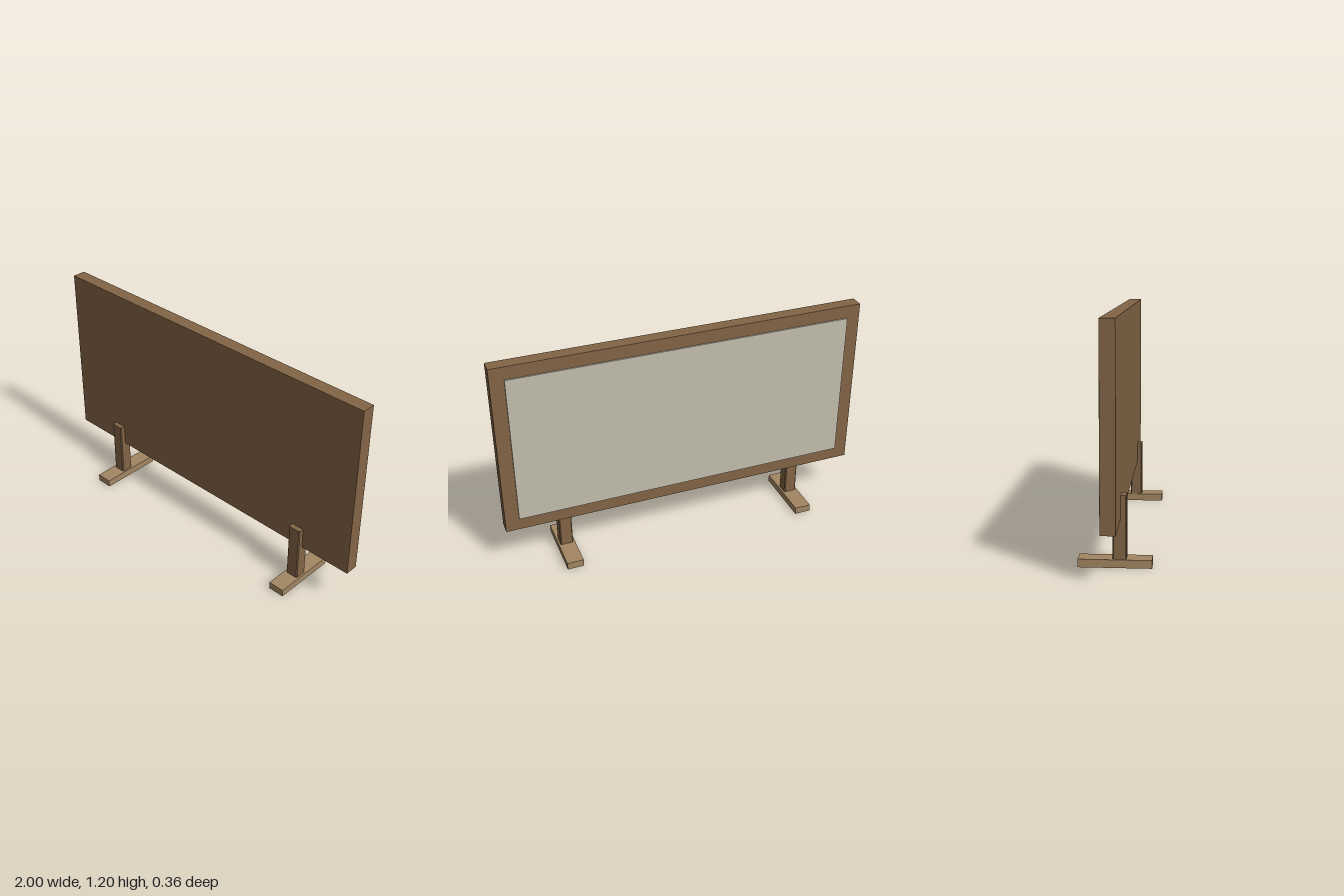
import * as THREE from 'three';

const material = (name, color) => {
  const m = new THREE.MeshStandardMaterial({ color });
  m.name = name;
  return m;
};

// Box given by its x centre, width and its y and z ranges
function block(name, mat, x, w, y0, y1, z0, z1) {
  const mesh = new THREE.Mesh(new THREE.BoxGeometry(w, y1 - y0, z1 - z0), mat);
  mesh.position.set(x, (y0 + y1) / 2, (z0 + z1) / 2);
  mesh.name = name;
  return mesh;
}

// Upright with a rectangular footprint and chamfered vertical edges
function chamferedPost(name, mat, x, w, y0, y1, z0, z1, c) {
  const h = w / 2;
  const shape = new THREE.Shape([
    [-h + c, -z1], [h - c, -z1], [h, -z1 + c], [h, -z0 - c],
    [h - c, -z0], [-h + c, -z0], [-h, -z0 - c], [-h, -z1 + c],
  ].map(([px, py]) => new THREE.Vector2(px, py)));
  const geo = new THREE.ExtrudeGeometry(shape, { depth: y1 - y0, bevelEnabled: false });
  geo.rotateX(-Math.PI / 2);
  const mesh = new THREE.Mesh(geo, mat);
  mesh.position.set(x, y0, 0);
  mesh.name = name;
  return mesh;
}

export function createModel() {
  const wood = material('brown wood', 0x836546);
  const paleWood = material('pale wood', 0xa38763);
  const board = material('pale grey board', 0xc4c0b0);
  const dark = material('dark hole', 0x3a2c1e);

  const model = new THREE.Group();
  model.name = 'standingPanel';

  // Thick panel
  model.add(block('panel', wood, 0, 2, 0.235, 1.2, -0.045, 0.027));

  // Board on the back, with slightly rounded corners
  const [w, h, r] = [0.926, 0.413, 0.006];
  const outline = new THREE.Shape();
  outline.moveTo(-w + r, -h);
  outline.lineTo(w - r, -h).quadraticCurveTo(w, -h, w, -h + r);
  outline.lineTo(w, h - r).quadraticCurveTo(w, h, w - r, h);
  outline.lineTo(-w + r, h).quadraticCurveTo(-w, h, -w, h - r);
  outline.lineTo(-w, -h + r).quadraticCurveTo(-w, -h, -w + r, -h);
  const backBoard = new THREE.Mesh(
    new THREE.ExtrudeGeometry(outline, { depth: 0.008, bevelEnabled: false, curveSegments: 3 }), board);
  backBoard.position.set(0, 0.717, -0.053);
  backBoard.name = 'backBoard';
  model.add(backBoard);

  // Two stands: foot bar, notched post and a screw hole underneath
  for (const side of [-1, 1]) {
    const x = side * 0.675;
    const stand = new THREE.Group();
    stand.name = side > 0 ? 'leftStand' : 'rightStand';
    stand.add(block('foot', paleWood, x, 0.09, 0, 0.04, -0.178, 0.178));
    stand.add(chamferedPost('lowerPost', wood, x, 0.07, 0.04, 0.235, -0.012, 0.055, 0.005));
    stand.add(chamferedPost('upperPost', wood, x, 0.07, 0.235, 0.352, 0.02, 0.055, 0.005));
    const hole = new THREE.Mesh(new THREE.CircleGeometry(0.01, 16), dark);
    hole.rotation.x = Math.PI / 2;
    hole.position.set(x, -0.0005, 0.02);
    hole.name = 'screwHole';
    stand.add(hole);
    model.add(stand);
  }
  return model;
}
